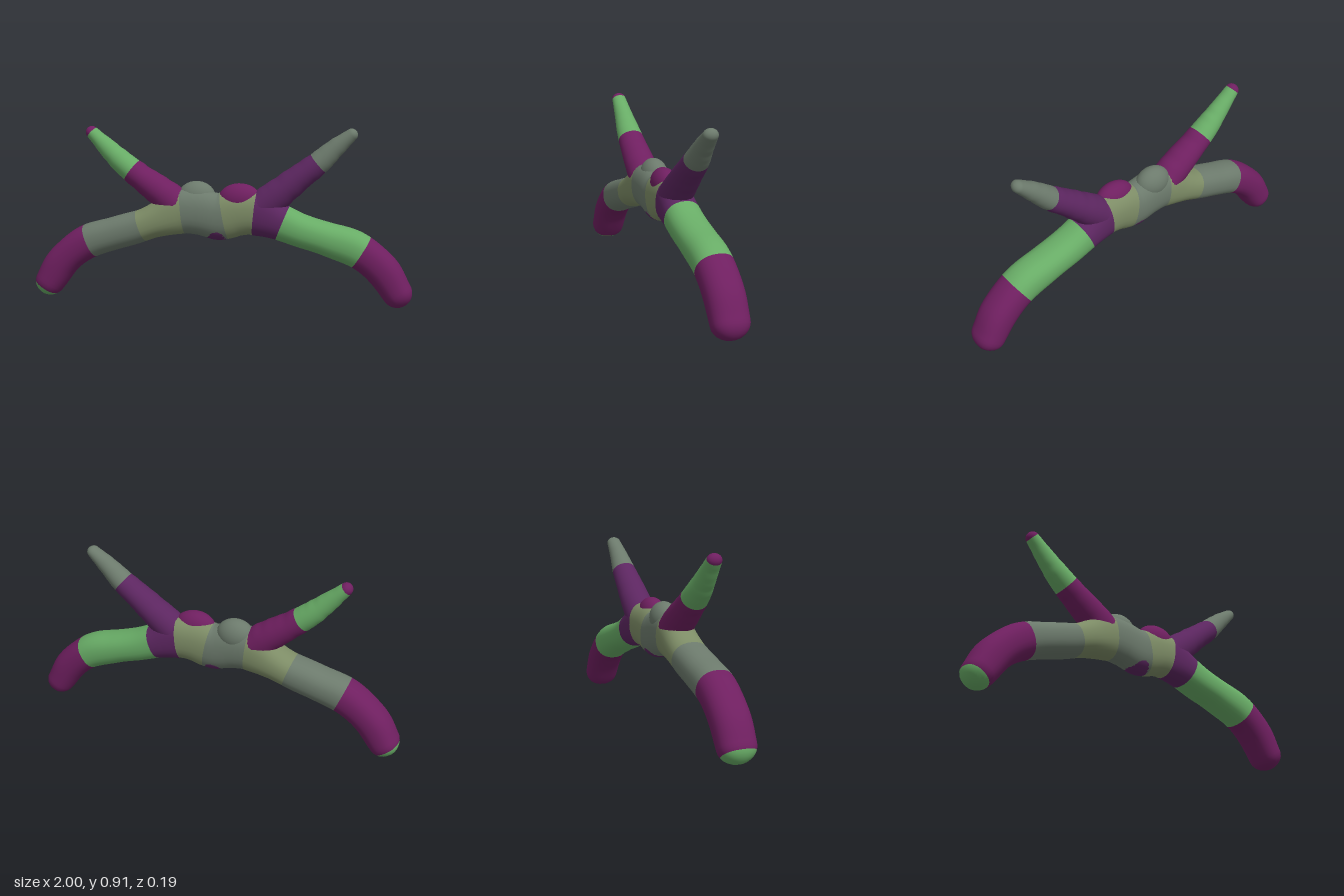
import * as THREE from 'three';

const PLUM = 0x6f1f60, GREEN = 0x68ac66, GREY = 0x6c7a6c, OLIVE = 0x7d8c66, PURPLE = 0x5c2660;
const SIDES = 28;
const mat = (color) => new THREE.MeshStandardMaterial({ color });

// Round-ended limb swept in the xy plane. Rows are [x, y, half height, half depth];
// bands are [x limit, colour] in order of travel towards +x.
function limb(name, rows, bands, steps, square = 1) {
  const path = new THREE.CatmullRomCurve3(rows.map((r) => new THREE.Vector3(r[0], r[1], 0)));
  const size = new THREE.CatmullRomCurve3(rows.map((r) => new THREE.Vector3(r[2], r[3], 0)));
  const rings = [];
  const addRing = (t, push, scale) => {
    const dir = path.getTangent(t), s = size.getPoint(t);
    const lump = 1 + 0.015 * Math.sin(t * 61) + 0.012 * Math.sin(t * 37 + 1);
    const c = path.getPoint(t).addScaledVector(dir, push * s.x);
    rings.push({ c, dir, h: s.x * scale * lump, d: s.y * scale });
  };
  const CAP = 7;
  for (let k = 0; k < CAP; k++) {
    const a = (k / CAP) * Math.PI / 2;
    addRing(0, -Math.cos(a), Math.max(Math.sin(a), 0.01));
  }
  for (let i = 0; i <= steps; i++) addRing(i / steps, 0, 1);
  for (let k = CAP - 1; k >= 0; k--) {
    const a = (k / CAP) * Math.PI / 2;
    addRing(1, Math.cos(a), Math.max(Math.sin(a), 0.01));
  }

  const pos = [], index = [];
  const soft = (v) => Math.sign(v) * Math.abs(v) ** square;
  for (const { c, dir, h, d } of rings) {
    for (let j = 0; j < SIDES; j++) {
      const a = (j / SIDES) * Math.PI * 2;
      const u = soft(Math.cos(a)) * h;
      pos.push(c.x - dir.y * u, c.y + dir.x * u, soft(Math.sin(a)) * d);
    }
  }
  const geo = new THREE.BufferGeometry();
  let band = 0, start = 0;
  for (let i = 0; i < rings.length - 1; i++) {
    if (band < bands.length - 1 && rings[i].c.x > bands[band][0]) {
      geo.addGroup(start, index.length - start, band++);
      start = index.length;
    }
    for (let j = 0; j < SIDES; j++) {
      const k = (j + 1) % SIDES;
      const a = i * SIDES + j, b = i * SIDES + k;
      index.push(a, b, a + SIDES, b, b + SIDES, a + SIDES);
    }
  }
  geo.addGroup(start, index.length - start, band);
  geo.setAttribute('position', new THREE.Float32BufferAttribute(pos, 3));
  geo.setIndex(index);
  geo.computeVertexNormals();
  const mesh = new THREE.Mesh(geo, bands.map((b) => mat(b[1])));
  mesh.name = name;
  return mesh;
}

function knob(name, color, [x, y, z], [rx, ry, rz]) {
  const mesh = new THREE.Mesh(new THREE.SphereGeometry(1, 28, 18), mat(color));
  mesh.name = name;
  mesh.position.set(x, y, z);
  mesh.scale.set(rx, ry, rz);
  return mesh;
}

export function createModel() {
  const model = new THREE.Group();
  model.name = 'branchedArch';

  // Arched lower limbs joined through the thick centre
  const half = [
    [0.92, 0.083, 0.078, 0.092], [0.845, 0.195, 0.088, 0.095], [0.72, 0.295, 0.09, 0.095],
    [0.56, 0.35, 0.087, 0.095], [0.42, 0.392, 0.085, 0.095], [0.31, 0.435, 0.095, 0.093],
    [0.2, 0.475, 0.118, 0.088], [0.1, 0.473, 0.118, 0.086],
  ];
  const arch = [
    ...half.map(([x, ...r]) => [-x, ...r]),
    [0, 0.455, 0.122, 0.086],
    ...half.slice().reverse(),
  ];
  model.add(limb('arch', arch, [
    [-0.94, GREEN], [-0.71, PLUM], [-0.42, GREY], [-0.2, OLIVE], [0.02, GREY],
    [0.18, OLIVE], [0.32, PURPLE], [0.72, GREEN], [1, PLUM],
  ], 110, 0.88));

  // Tapering upper branches
  const branch = [
    [0.2, 0.49, 0.09, 0.084], [0.3, 0.57, 0.08, 0.083], [0.41, 0.66, 0.068, 0.074],
    [0.51, 0.738, 0.06, 0.064], [0.59, 0.812, 0.049, 0.05], [0.675, 0.884, 0.032, 0.038],
  ];
  const mirrored = branch.map(([x, y, ...r]) => [-x, y - (x > 0.35 && x < 0.6 ? 0.012 : 0), ...r]).reverse();
  model.add(limb('leftBranch', branch, [[0.3, PURPLE], [0.5, PURPLE], [1, GREY]], 40));
  model.add(limb('rightBranch', mirrored, [[-0.68, PLUM], [-0.47, GREEN], [0, PLUM]], 40));

  // Knobs on top and the swelling underneath
  model.add(knob('rightKnob', GREY, [-0.12, 0.55, -0.015], [0.1, 0.085, 0.07]));
  model.add(knob('leftKnob', PLUM, [0.11, 0.55, 0.012], [0.11, 0.08, 0.065]));
  model.add(knob('underside', PURPLE, [0, 0.4, 0], [0.11, 0.07, 0.075]));
  return model;
}
